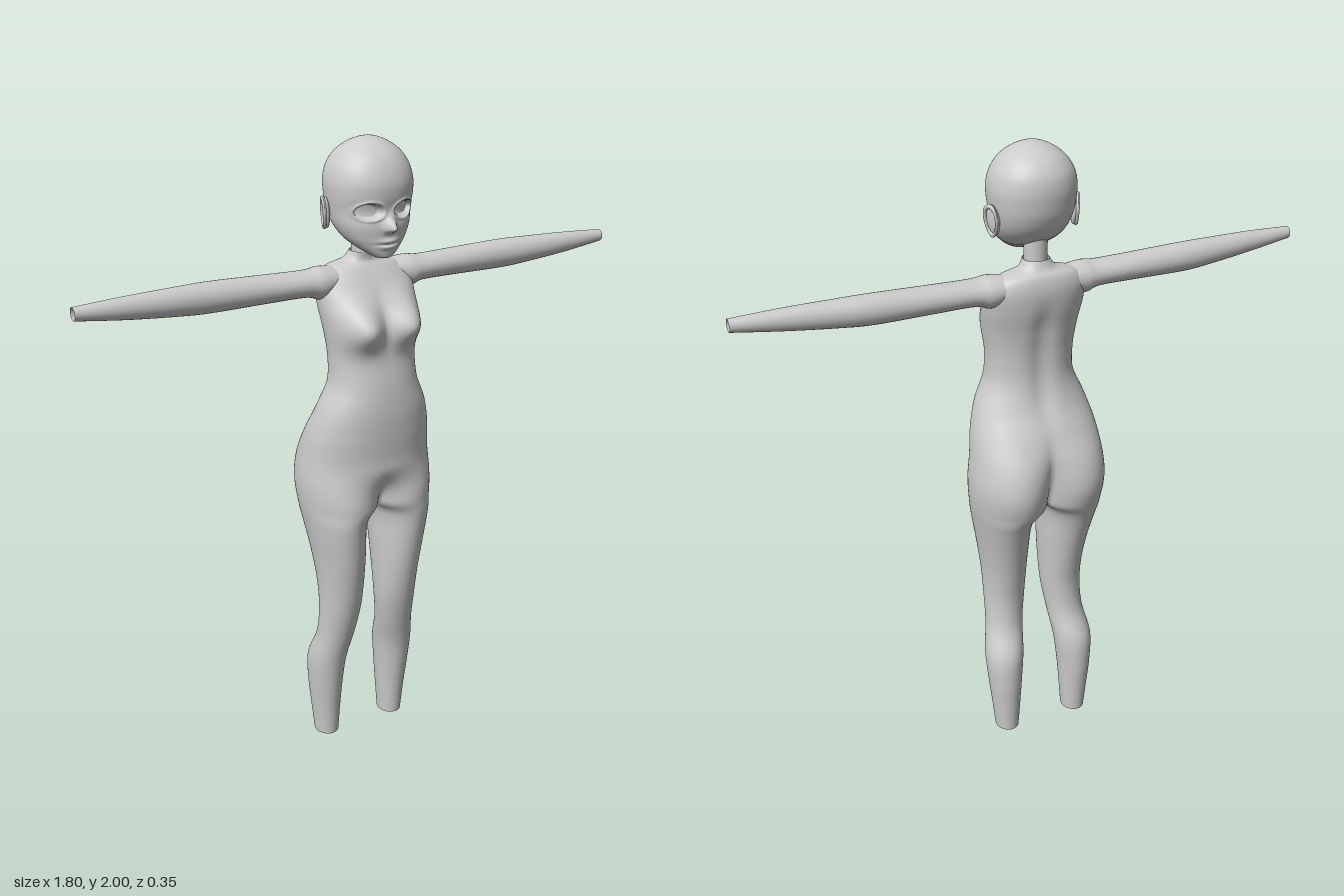
import * as THREE from 'three';
import { mergeGeometries, mergeVertices } from 'three/addons/utils/BufferGeometryUtils.js';

const { smoothstep, lerp } = THREE.MathUtils;
const material = new THREE.MeshStandardMaterial({ color: 0xcccccc, side: THREE.DoubleSide });
const gauss = (d, s) => Math.exp(-(d * d) / (2 * s * s));
const spow = (v, p) => Math.sign(v) * Math.pow(Math.abs(v), p);

// Smooth interpolation of a table of sections, t from 0 to 1
function sample(rows, t) {
  const n = rows.length - 1;
  const f = Math.min(t * n, n - 1e-9), i = Math.floor(f), k = f - i;
  const at = (j) => rows[Math.max(0, Math.min(n, j))];
  return rows[0].map((_, c) => {
    const [p0, p1, p2, p3] = [at(i - 1)[c], at(i)[c], at(i + 1)[c], at(i + 2)[c]];
    return p1 + 0.5 * k * (p2 - p0 + k * (2 * p0 - 5 * p1 + 4 * p2 - p3 + k * (3 * (p1 - p2) + p3 - p0)));
  });
}

// Grid surface: point(angle fraction, length fraction); keep() may leave out cells
function grid(cols, rows, point, keep = () => true) {
  const pos = [], index = [];
  for (let j = 0; j <= rows; j++) {
    for (let i = 0; i <= cols; i++) pos.push(...point((i % cols) / cols, j / rows));
  }
  for (let j = 0; j < rows; j++) {
    for (let i = 0; i < cols; i++) {
      if (!keep(i / cols, j / rows)) continue;
      const a = j * (cols + 1) + i, c = a + cols + 1;
      index.push(a, c, a + 1, a + 1, c, c + 1);
    }
  }
  const g = new THREE.BufferGeometry();
  g.setAttribute('position', new THREE.Float32BufferAttribute(pos, 3));
  g.setIndex(index);
  return g;
}

function mirrored(g) {
  const m = g.clone().scale(-1, 1, 1);
  const idx = m.index.array;
  for (let i = 0; i < idx.length; i += 3) [idx[i], idx[i + 1]] = [idx[i + 1], idx[i]];
  return m;
}

function smooth(g) {
  const w = mergeVertices(g, 1e-5);
  w.computeVertexNormals();
  return w;
}

// Half body, ankle to neck: y, outer x, inner x, front z, back z
const BODY = [
  [0, 0.165, 0.087, 0.003, -0.09], [0.1, 0.175, 0.08, 0.012, -0.098],
  [0.2, 0.185, 0.073, 0.025, -0.105], [0.3, 0.19, 0.063, 0.04, -0.1],
  [0.4, 0.174, 0.05, 0.065, -0.06], [0.5, 0.171, 0.037, 0.09, -0.052],
  [0.6, 0.175, 0.031, 0.11, -0.067], [0.7, 0.187, 0.028, 0.127, -0.092],
  [0.8, 0.203, 0.025, 0.14, -0.125], [0.88, 0.215, 0.006, 0.148, -0.16],
  [0.96, 0.219, 0, 0.153, -0.176], [1.04, 0.211, 0, 0.152, -0.165],
  [1.12, 0.199, 0, 0.157, -0.126], [1.2, 0.176, 0, 0.159, -0.082],
  [1.28, 0.143, 0, 0.152, -0.059], [1.36, 0.139, 0, 0.138, -0.056],
  [1.44, 0.148, 0, 0.13, -0.065], [1.52, 0.158, 0, 0.1, -0.08],
  [1.58, 0.158, 0, 0.067, -0.084], [1.62, 0.125, 0, 0.04, -0.076],
  [1.64, 0.06, 0, 0.026, -0.06], [1.665, 0.04, 0, 0.029, -0.048],
];
const CROTCH_ROW = 9, STEPS = 8, OUTER = 0.8;

function bodyPoint(u, v) {
  const [y, out, inn, front, back] = sample(BODY, v);
  const row = v * (BODY.length - 1);
  const cz = (front + back) / 2, rz = (front - back) / 2;
  const cx = (out + inn) / 2, rx = (out - inn) / 2;
  const s = u <= 0.5 ? u : u - 1;           // 0 = outer side, +-0.5 = inner side
  const arc = OUTER / 2;
  // Round leg, pressed against the centre plane near the crotch
  const th = s * Math.PI * 2;
  const end = cx + rx * Math.cos(arc * Math.PI * 2);
  const legX = cx + rx * Math.cos(th);
  const press = row >= CROTCH_ROW ? 1 : Math.pow(smoothstep(row, CROTCH_ROW - 0.8, CROTCH_ROW), 2);
  const pressedX = Math.max(0, (legX - end) * out / (out - end));
  let x = lerp(legX, pressedX, press);
  let z = cz + rz * Math.sin(th);
  // Above the crotch the legs blend into one torso section
  const t = th > 0 ? smoothstep(y, 0.87, 1.02) : smoothstep(y, 0.89, 1.2);
  if (row >= CROTCH_ROW && Math.abs(s) <= arc + 1e-6) {
    const phi = (s / arc) * Math.PI / 2;
    x = lerp(x, out * spow(Math.cos(phi), 0.9), t);
    z = lerp(z, cz + rz * spow(Math.sin(phi), 0.9), t);
    if (Math.abs(Math.abs(s) - arc) < 1e-6) x = 0;
    // Bust
    if (th > 0) {
      const rise = y > 1.46 ? 0.05 : 0.042;
      z += 0.062 * gauss(x - 0.078, 0.042) * gauss(y - 1.465, rise) * smoothstep(Math.sin(phi), 0, 0.5);
    }
    // Spine groove
    else z += 0.012 * gauss(x, 0.025) * smoothstep(y, 1.1, 1.25) * (1 - smoothstep(y, 1.45, 1.58));
  }
  return [x, y, z];
}

// Arm: x, top y, bottom y, front z, back z
const ARM = [
  [0.09, 1.625, 1.56, 0.035, -0.06], [0.15, 1.632, 1.535, 0.046, -0.062],
  [0.2, 1.627, 1.547, 0.043, -0.056], [0.32, 1.63, 1.547, 0.038, -0.053],
  [0.5, 1.635, 1.545, 0.036, -0.05], [0.6, 1.634, 1.551, 0.036, -0.042],
  [0.75, 1.631, 1.566, 0.034, -0.026], [0.9, 1.624, 1.586, 0.028, -0.01],
];
function armPoint(u, v) {
  const [x, top, bot, f, b] = sample(ARM, v);
  const a = -u * Math.PI * 2;
  return [x, (top + bot) / 2 + (top - bot) / 2 * Math.cos(a), (f + b) / 2 + (f - b) / 2 * Math.sin(a)];
}

// Head: y, half width, front z, back z
const HEAD = [
  [1.664, 0, 0.108, 0.108], [1.667, 0.022, 0.128, 0.085], [1.68, 0.045, 0.135, 0.045],
  [1.7, 0.072, 0.137, 0], [1.725, 0.096, 0.14, -0.042], [1.76, 0.114, 0.143, -0.075],
  [1.8, 0.123, 0.138, -0.095], [1.84, 0.129, 0.146, -0.104], [1.88, 0.13, 0.147, -0.107],
  [1.92, 0.12, 0.135, -0.1], [1.955, 0.097, 0.112, -0.077], [1.98, 0.065, 0.08, -0.045],
  [1.995, 0.03, 0.047, -0.01], [2, 0, 0.018, 0.018],
];
function headPoint(u, v) {
  const [y, w, f, b] = sample(HEAD, v);
  const a = u * Math.PI * 2, s = Math.sin(a);
  const x = w * spow(Math.cos(a), 0.95);
  let z = (f + b) / 2 + (f - b) / 2 * spow(s, 0.95);
  if (s > 0.2) {
    const ax = Math.abs(x);
    // Nose, lips and mouth line
    z += 0.036 * gauss(x, 0.011) * gauss(y - 1.757, y > 1.757 ? 0.02 : 0.009);
    z += 0.008 * gauss(x, 0.02) * (gauss(y - 1.717, 0.006) + gauss(y - 1.701, 0.006));
    z -= 0.006 * gauss(x, 0.02) * gauss(y - 1.709, 0.003);
    // Eye sockets
    const lid = y > 1.803 ? 0.025 : 0.022;
    const d = Math.hypot((ax - 0.056) / 0.037, (y - 1.803) / lid);
    z -= 0.02 * (1 - smoothstep(d, 0.82, 1.05));
    z += 0.004 * gauss(d - 1.15, 0.1);
  }
  return [x, y, z];
}

// Ear: a flat dish with a raised rim
function earGeometry() {
  const shell = new THREE.SphereGeometry(1, 24, 16).scale(0.01, 0.046, 0.026);
  const rim = new THREE.TorusGeometry(1, 0.17, 10, 32).rotateY(Math.PI / 2).scale(0.034, 0.042, 0.023).translate(0.008, 0, 0);
  const p = rim.attributes.position;
  for (let i = 0; i < p.count; i++) p.setZ(i, p.getZ(i) * (1 + 5 * p.getY(i)));
  rim.computeVertexNormals();
  return mergeGeometries([shell, rim]);
}

export function createModel() {
  const group = new THREE.Group();
  const add = (name, geometry) => {
    const mesh = new THREE.Mesh(geometry, material);
    mesh.name = name;
    group.add(mesh);
    return mesh;
  };

  // Torso and legs are one welded skin; inner thigh faces stop at the crotch
  const rows = BODY.length - 1;
  const half = grid(60, rows * STEPS, bodyPoint, (u, v) =>
    v * rows < CROTCH_ROW - 1e-6 || u < OUTER / 2 - 1e-6 || u >= 1 - OUTER / 2 - 1e-6);
  add('torsoAndLegs', smooth(mergeGeometries([half, mirrored(half)])));

  const arm = grid(32, 56, armPoint);
  add('leftArm', smooth(arm));
  add('rightArm', smooth(mirrored(arm)));

  add('head', smooth(grid(160, 156, headPoint)));
  const neck = new THREE.CylinderGeometry(0.036, 0.034, 0.13, 32, 1, true).translate(0, 1.69, -0.008);
  add('neck', neck);

  for (const side of [1, -1]) {
    const ear = add(side > 0 ? 'leftEar' : 'rightEar', earGeometry());
    if (side < 0) ear.geometry.rotateY(Math.PI);
    if (side < 0) ear.geometry.scale(1, 1, 1);
    ear.position.set(side * 0.128, 1.79, 0.002);
    ear.rotation.set(0.1, side * 0.35, side * -0.1);
  }
  return group;
}
